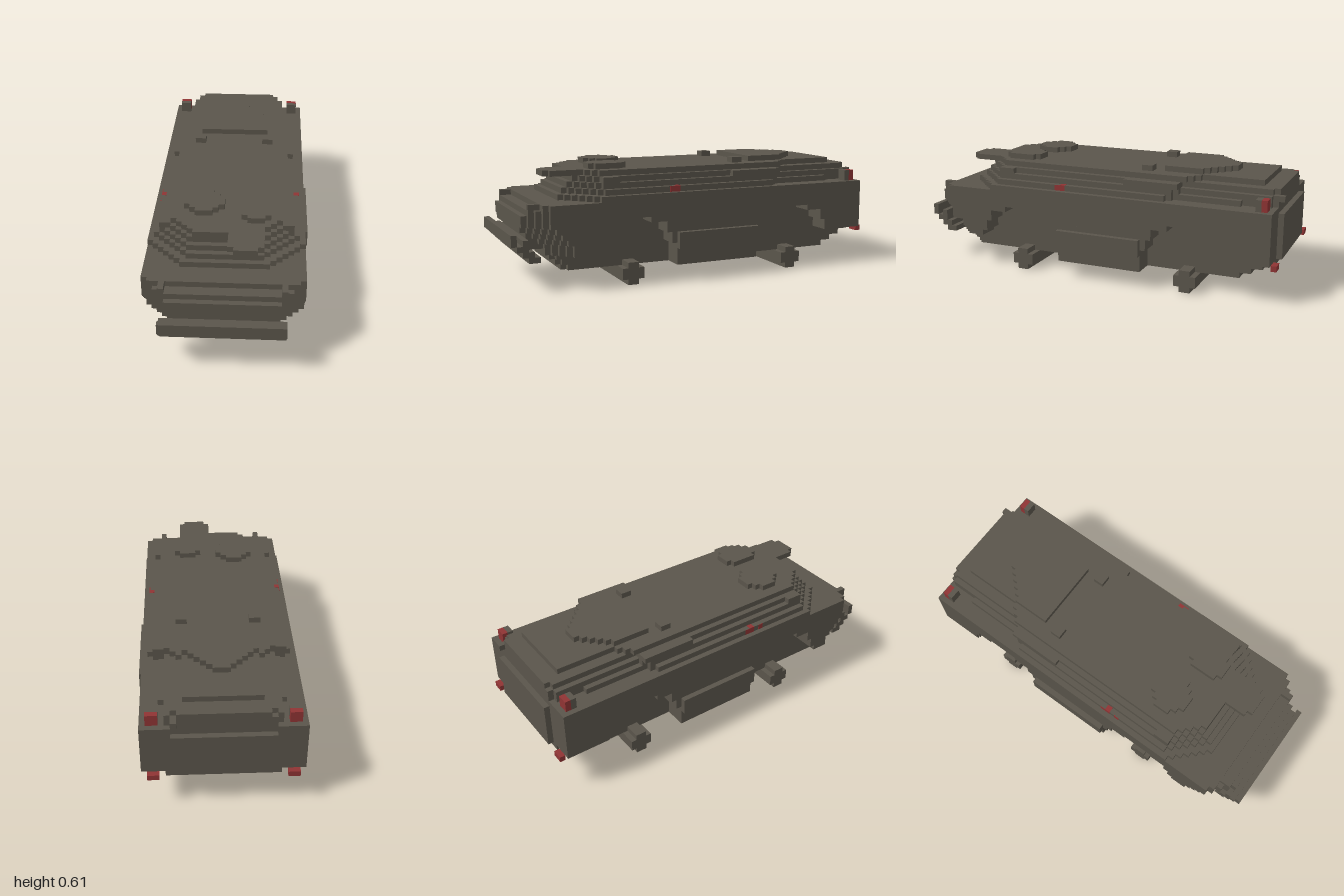
import * as THREE from 'three';

const V = 2 / 69; // one grid cell

export function createModel() {
  const model = new THREE.Group();
  const hullPaint = new THREE.MeshStandardMaterial({ color: 0x5a554b });
  hullPaint.name = 'drabHull';
  const lampRed = new THREE.MeshStandardMaterial({ color: 0x8f3434 });
  lampRed.name = 'lampRed';

  // all helpers take grid cells
  function box(name, x0, x1, y0, y1, z0, z1, mat = hullPaint) {
    const m = new THREE.Mesh(new THREE.BoxGeometry((x1 - x0) * V, (y1 - y0) * V, (z1 - z0) * V), mat);
    m.position.set((x0 + x1) / 2 * V, (y0 + y1) / 2 * V, (z0 + z1) / 2 * V);
    m.name = name;
    model.add(m);
  }

  // flat layer with stair-stepped front (cf) and back (cb) corners and optional wheel notches
  const wheels = [13.5, -18.5], notchInner = 9.5;
  function slab(name, y0, y1, hw, zb, zf, cf = 0, cb = 0, notch = 0, cx = 0) {
    const side = [];
    for (let i = cf; i >= 0; i--) {
      side.push([hw - i, zf - cf + i]);
      if (i > 0) side.push([hw - i, zf - cf + i - 1]);
    }
    if (notch) for (const w of wheels) {
      side.push([hw, w + notch], [notchInner, w + notch], [notchInner, w - notch], [hw, w - notch]);
    }
    for (let i = 0; i <= cb; i++) {
      side.push([hw - i, zb + cb - i]);
      if (i < cb) side.push([hw - i - 1, zb + cb - i]);
    }
    const outline = side.concat(side.map(([x, z]) => [-x, z]).reverse());
    const shape = new THREE.Shape(outline.map(([x, z]) => new THREE.Vector2((x + cx) * V, -z * V)));
    const geo = new THREE.ExtrudeGeometry(shape, { depth: (y1 - y0) * V, bevelEnabled: false });
    geo.rotateX(-Math.PI / 2);
    const m = new THREE.Mesh(geo, hullPaint);
    m.position.y = y0 * V;
    m.name = name;
    model.add(m);
  }

  // narrow tub between the wheels, with sloping ends
  [[3, -27.5, 25.5], [4, -29.5, 26.5], [5, -31.5, 27.5], [6, -33.5, 28.5]]
    .forEach(([y, zb, zf]) => slab('tub', y, y + 1, 9.5, zb, zf, 1));
  box('sill', -13.5, 13.5, 3, 7, -10.5, 5.5);
  slab('lowerNose', 6, 7, 13.5, 21.5, 28.5, 4);

  // hull: bottom, top, front, front corner steps, wheel notch
  const hull = [
    [7, 8, 29.5, 5, 7],
    [8, 9, 30.5, 5, 7],
    [9, 10, 31.5, 5, 6],
    [10, 11, 32.5, 5, 6],
    [11, 12, 32.5, 4, 3],
    [12, 13, 32.5, 4, 0],
    [13, 14, 31.5, 3, 0],
    [14, 15, 29.5, 1, 0],
    [15, 16, 25.5, 6, 0],
  ];
  for (const [y0, y1, zf, c, n] of hull) slab('hull', y0, y1, 13.5, -33.5, zf, c, 0, n);

  // upper body: wide cabin tapering at the windscreen, narrower at the rear
  slab('cabin', 16, 17, 12.5, -16.5, 24.5, 6, 2);
  slab('cabin', 17, 18, 11.5, -16.5, 23.5, 5, 1);
  slab('cabin', 18, 19, 10.5, -16.5, 22.5, 4);
  slab('rearDeck', 16, 17, 10.5, -27.5, -15);
  slab('rearDeck', 16, 18, 9.5, -33.5, -15, 0, 1);
  slab('rearDeck', 18, 19, 8.5, -33.5, -15, 0, 1);
  slab('roof', 19, 20, 9.5, -20.5, 22.5, 4, 3);
  box('rearRoof', -6.5, 6.5, 19, 20, -30.5, -18);

  // roof fittings
  slab('driverVisor', 19, 20, 3, 19, 27.5, 1, 0, 0, 3.5);
  slab('roundHatch', 20, 21, 3.5, 10.5, 17.5, 2, 2, 0, -4);
  slab('smallHatch', 20, 21, 2.5, 12.5, 19.5, 1, 1, 0, 5);
  slab('rearHatch', 20, 21, 6.5, -24.5, -12.5, 0, 5);

  // front trim bar, stepping down and back to the nose
  [[8, 10, 33.5, 34.5], [7, 8, 32.5, 33.5], [7, 9, 31.5, 32.5], [6, 7, 30.5, 32.5], [5, 6, 29.5, 31.5]]
    .forEach(([y0, y1, z0, z1]) => box('trimBar', -10.5, 10.5, y0, y1, z0, z1));
  box('trimMount', -8.5, 8.5, 7, 9, 29, 31.5);

  // rear door and handle post
  box('rearDoor', -8.5, 8.5, 7, 15, -34.5, -33.5);
  box('rearPost', 7.5, 8.5, 17, 18, -34.5, -33.5);

  // axles with a plus-shaped section
  for (const z of wheels) {
    box('axle', -12.5, 12.5, 0, 4, z - 1, z + 1);
    box('axle', -12.5, 12.5, 1, 3, z - 2, z + 2);
  }

  // drive shaft and gearbox under the belly
  box('driveShaft', -1.5, 1.5, 2, 3, -23.5, 18.5);
  box('driveShaft', -0.5, 0.5, 1, 2, -23.5, 18.5);
  box('gearbox', -4.5, 4.5, 2, 3, -9.5, 2.5);

  // mirrored side fittings
  for (const s of [-1, 1]) {
    const pair = (name, a, b, ...r) => box(name, Math.min(s * a, s * b), Math.max(s * a, s * b), ...r);
    pair('sidePanel', 13.5, 14.5, 6, 9, -10.5, 5.5);
    pair('noseHorn', 9.5, 10.5, 14, 15, 29.5, 31.5);
    pair('cabinFlank', 10.5, 11.5, 18, 19, -16.5, -6.5);
    pair('cabinFlank', 10.5, 11.5, 18, 19, 15.5, 18.5);
    pair('roofBlock', 5.5, 7.5, 20, 21, -10.5, -8.5);
    pair('lampPost', 10.5, 12.5, 16, 18, -31.5, -30.5);
    pair('upperTailLamp', 10.5, 12.5, 16, 18, -32.5, -31.5, lampRed);
    pair('lowerTailLamp', 10.5, 12.5, 6, 7, -34.5, -33.5, lampRed);
    // marker lamps set flush into the cabin ledge
    const z = s > 0 ? 4.5 : 5.5;
    pair('sideMarkerTop', 11.5, 12.55, 16.9, 17.05, z, z + 1, lampRed);
    pair('sideMarker', 12.4, 12.55, 16, 17, 4.5, 6.5, lampRed);
  }
  box('rightFrontMarker', -12.55, -12.4, 16, 17, 7.5, 8.5, lampRed);
  return model;
}
